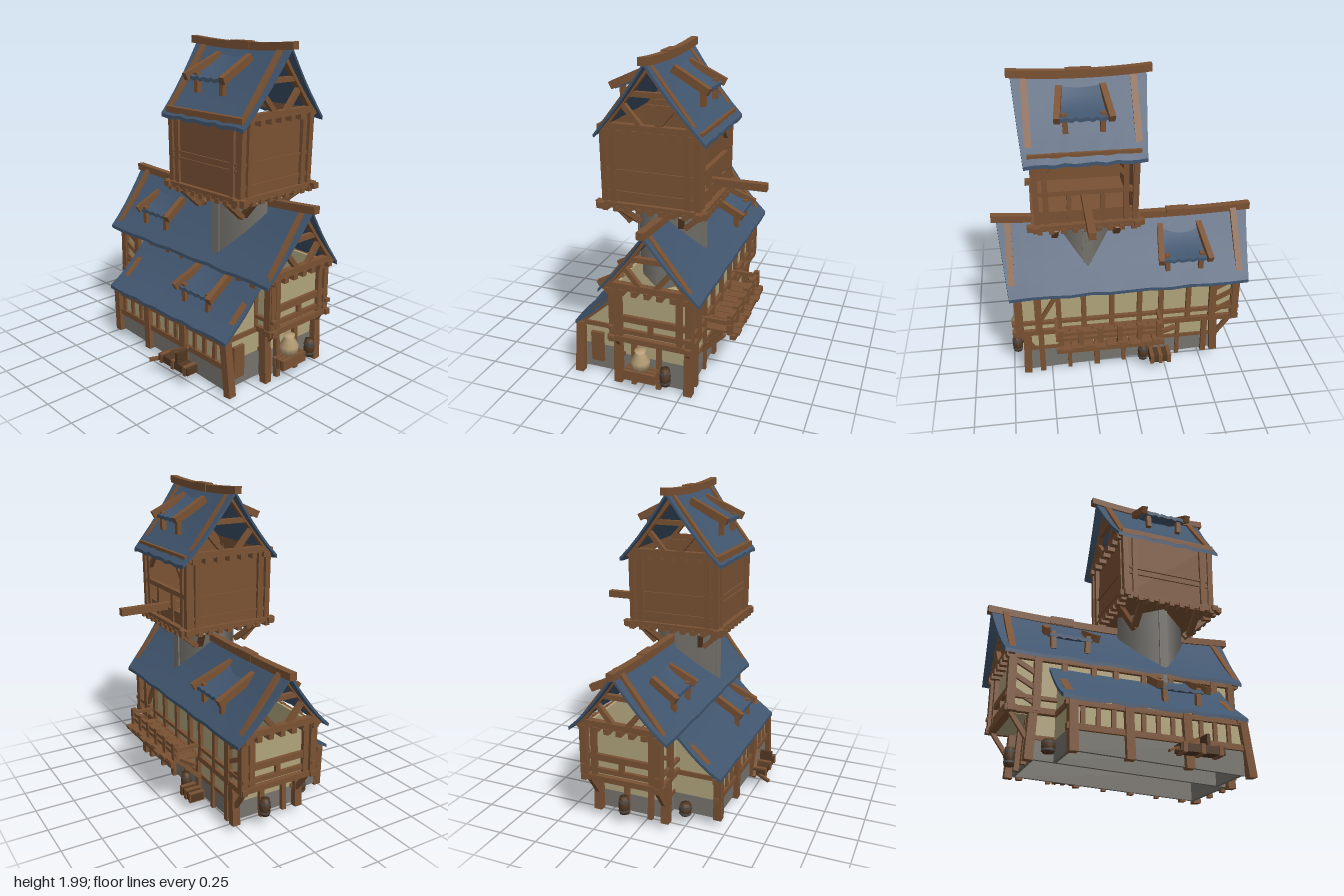
import * as THREE from 'three';

const mat = (name, color, side = THREE.FrontSide) => {
  const m = new THREE.MeshStandardMaterial({ color, side });
  m.name = name;
  return m;
};

export function createModel() {
  const root = new THREE.Group();
  root.name = 'tavernWithTower';
  const wood = mat('wood', 0x7a5233), roofBlue = mat('roofBlue', 0x41566f);
  const plaster = mat('plaster', 0xb0a47c), stone = mat('stone', 0x77746e, THREE.DoubleSide);
  const darkWood = mat('darkWood', 0x513823), iron = mat('iron', 0x4c4b4a), cloth = mat('sackcloth', 0xb59c74);

  // ---------- helpers ----------
  const add = (name, geo, m) => {
    const mesh = new THREE.Mesh(geo, m);
    mesh.name = name;
    root.add(mesh);
    return mesh;
  };
  // axis-aligned box given by its min/max on each axis
  const block = (name, m, x0, x1, y0, y1, z0, z1) => {
    const mesh = add(name, new THREE.BoxGeometry(x1 - x0, y1 - y0, z1 - z0), m);
    mesh.position.set((x0 + x1) / 2, (y0 + y1) / 2, (z0 + z1) / 2);
    return mesh;
  };
  // timber running from point a to point b
  const beam = (name, a, b, w = 0.035, h = w, m = wood) => {
    const A = new THREE.Vector3(...a), B = new THREE.Vector3(...b);
    const mesh = add(name, new THREE.BoxGeometry(w, h, A.distanceTo(B)), m);
    mesh.position.copy(A).lerp(B, 0.5);
    mesh.lookAt(B);
    return mesh;
  };
  const reshape = (geo, rule) => {
    const p = geo.attributes.position, v = new THREE.Vector3();
    for (let i = 0; i < p.count; i++) {
      rule(v.fromBufferAttribute(p, i));
      p.setXYZ(i, v.x, v.y, v.z);
    }
    geo.computeVertexNormals();
    return geo;
  };
  // roof sheet from a sagging ridge line to an eave; r and e are [x0, x1, y, z]
  const slope = (name, r, e, sag, tilt = 0, t = 0.022) => {
    const back = e[3] < r[3], L = THREE.MathUtils.lerp;
    const geo = reshape(new THREE.BoxGeometry(2, t, 1, 12, 1, 5), (v) => {
      const f = back ? 0.5 - v.z : v.z + 0.5, s = v.x, top = v.y;
      const rag = f === 1 ? 0.006 * Math.sin(s * 23) : 0;
      v.x = L(L(r[0], r[1], (s + 1) / 2), L(e[0], e[1], (s + 1) / 2), f);
      v.y = L(r[2] + sag * s * s + tilt * s, e[2], f) + top + rag - 0.02 * Math.sin(f * Math.PI);
      v.z = L(r[3], e[3], f);
    });
    return add(name, geo, roofBlue);
  };
  // sagging ridge timber with a saddle block
  const ridge = (x0, x1, y, z, sag, tilt, saddle) => {
    const geo = reshape(new THREE.BoxGeometry(2, 0.045, 0.045, 12, 1, 1), (v) => {
      const s = v.x;
      v.x = (x0 + x1) / 2 + (s * (x1 - x0)) / 2;
      v.y += y + sag * s * s + tilt * s;
      v.z += z;
    });
    add('ridgeBeam', geo, wood);
    block('ridgeSaddle', wood, saddle - 0.075, saddle + 0.075, y - 0.02, y + 0.03, z - 0.028, z + 0.028);
  };
  // shed dormer: two splayed rafters, a lifted roof patch and short posts
  const dormer = (xc, y0, z0, y1, z1) => {
    const zm = z0 + (z1 - z0) * 0.78, ym = y0 + (y1 - y0) * 0.78;
    slope('dormerRoof', [xc - 0.12, xc + 0.12, y0 - 0.015, z0], [xc - 0.14, xc + 0.14, y1 - 0.005, z1 - 0.02 * Math.sign(z1 - z0)], 0.015);
    for (const s of [-1, 1]) {
      beam('dormerRafter', [xc + s * 0.125, y0, z0], [xc + s * 0.155, y1, z1], 0.036, 0.045);
      beam('dormerPost', [xc + s * 0.11, ym, zm], [xc + s * 0.105, y1 - 0.09, zm], 0.03);
    }
  };
  // open gable truss in the plane x
  const truss = (x, zc, half, y0, y1) => {
    const H = y1 - y0;
    beam('tieBeam', [x, y0, zc - half], [x, y0, zc + half], 0.04, 0.04);
    beam('collar', [x, y0 + H * 0.55, zc - half * 0.4], [x, y0 + H * 0.55, zc + half * 0.4], 0.03);
    for (const s of [-1, 1]) {
      beam('gableRafter', [x, y0 - 0.03, zc + s * half * 1.06], [x, y1, zc], 0.04);
      beam('gableStrut', [x, y0, zc + s * 0.04], [x, y0 + H * 0.4, zc + s * half * 0.58], 0.03);
    }
    for (let i = -3; i <= 3; i++) {
      const z = zc + (i * half) / 3.3;
      block('joistEnd', wood, x - 0.028, x + 0.028, y0 - 0.05, y0 - 0.015, z - 0.017, z + 0.017);
    }
  };
  // the ground falls away toward +x
  const ground = (x) => 0.05 - 0.045 * x;
  const stoneWall = (x0, x1, z0, z1, top) => add('stoneBase', reshape(new THREE.BoxGeometry(1, 1, 1), (v) => {
    v.x = v.x < 0 ? x0 : x1;
    v.z = v.z < 0 ? z0 : z1;
    v.y = v.y > 0 ? top : ground(v.x);
  }), stone);
  const post = (x, z, top = 0.34, w = 0.045, lean = 0) =>
    beam('post', [x + lean, ground(x) - 0.012, z], [x, top, z], w);

  // ---------- ground floor ----------
  for (const z of [0.14, -0.28]) {
    stoneWall(-0.57, 0.64, z - 0.01, z + 0.01, 0.19);
    block('lowerPlaster', plaster, -0.57, 0.64, 0.19, 0.34, z - 0.008, z + 0.008);
    block('sillBeam', wood, -0.58, 0.65, 0.185, 0.21, z - 0.018, z + 0.018);
  }
  for (const x of [-0.56, 0.63]) {
    stoneWall(x - 0.01, x + 0.01, -0.28, 0.14, 0.19);
    block('lowerPlaster', plaster, x - 0.008, x + 0.008, 0.19, 0.34, -0.28, 0.14);
    for (const z of [0.16, 0.06, -0.1, -0.29]) post(x + Math.sign(x) * 0.015, z, 0.34, z === 0.16 || z === -0.29 ? 0.05 : 0.03, 0.015 * Math.sign(x));
  }
  for (let i = 0; i < 7; i++) post(-0.52 + i * 0.18, -0.295, 0.34, i % 2 ? 0.026 : 0.036);
  block('upperFloor', plaster, -0.68, 0.68, 0.325, 0.345, -0.29, 0.15);

  // ---------- upper floor ----------
  for (const z of [0.155, -0.295]) {
    const o = z + Math.sign(z) * 0.015;
    block('upperPlaster', plaster, -0.69, 0.69, 0.36, 0.68, z - 0.008, z + 0.008);
    for (const [y, h] of [[0.345, 0.035], [0.66, 0.03], [0.42, 0.022]]) beam('rail', [-0.74, y, o], [0.74, y, o], 0.035, h);
    for (const x of [-0.71, -0.56, -0.4, -0.22, -0.08, 0.1, 0.28, 0.44, 0.57, 0.69]) beam('stud', [x, 0.34, o], [x, 0.68, o], Math.abs(x) > 0.55 ? 0.045 : 0.032);
    for (const y of [0.4, 0.49, 0.58]) beam('wallBrace', [-0.7, y + 0.06, o], [-0.57, y - 0.01, o], 0.022, 0.028);
    beam('wallBrace', [0.45, 0.62, o], [0.56, 0.43, o], 0.025);
  }
  for (const s of [-1, 1]) {
    const x = s * 0.685, o = s * 0.7;
    block('upperPlaster', plaster, x - 0.008, x + 0.008, 0.36, 0.68, -0.29, 0.15);
    for (const z of [0.165, 0.125, -0.25, -0.305]) beam('stud', [o, 0.34, z], [o, 0.69, z], 0.036);
    beam('rail', [o, 0.345, 0.2], [o, 0.345, -0.33], 0.05, 0.035);
    beam('rail', [o, 0.48, 0.15], [o, 0.48, -0.3], 0.03, 0.04);
    beam('rail', [o, 0.395, 0.15], [o, 0.395, -0.3], 0.03, 0.03);
    beam('windowPost', [o, 0.4, -0.07], [o, 0.48, -0.07], 0.03);
    truss(s * 0.72, -0.065, 0.26, 0.7, 1.03);
    for (const z of [0.15, -0.29]) beam('jettyBrace', [s * 0.7, 0.33, z], [s * 0.6, 0.19, z], 0.025);
  }

  // ---------- main roof ----------
  const R = [-0.81, 0.79, 1.005, -0.065];
  slope('mainRoofFront', R, [-0.77, 0.74, 0.655, 0.245], 0.035, 0.01);
  slope('mainRoofBack', R, [-0.77, 0.74, 0.655, -0.38], 0.035, 0.01);
  ridge(-0.83, 0.82, 1.025, -0.065, 0.03, 0.015, -0.36);
  dormer(-0.365, 0.93, 0.03, 0.83, 0.2);
  dormer(-0.365, 0.95, -0.1, 0.83, -0.36);

  // ---------- lean-to ----------
  stoneWall(-0.44, 0.6, 0.41, 0.43, 0.19);
  block('leanToPlaster', plaster, -0.44, 0.6, 0.19, 0.33, 0.412, 0.428);
  beam('leanToSill', [-0.46, 0.195, 0.43], [0.62, 0.18, 0.43], 0.035, 0.035);
  beam('leanToPlate', [-0.47, 0.325, 0.43], [0.62, 0.325, 0.43], 0.04, 0.03);
  for (const x of [-0.43, -0.11, 0.24, 0.6]) post(x, 0.435, 0.34, 0.05, x > 0.5 ? 0.04 : 0.01);
  for (let i = 0; i < 11; i++) beam('leanToStud', [-0.37 + i * 0.088, 0.19, 0.43], [-0.37 + i * 0.088, 0.33, 0.43], 0.025);
  const side = new THREE.Shape([[0.15, 0.19], [0.42, 0.19], [0.42, 0.33], [0.15, 0.56]].map((p) => new THREE.Vector2(...p)));
  for (const x of [-0.43, 0.58]) {
    stoneWall(x - 0.01, x + 0.01, 0.15, 0.42, 0.19);
    const geo = new THREE.ExtrudeGeometry(side, { depth: 0.016, bevelEnabled: false });
    geo.rotateY(-Math.PI / 2).translate(x + 0.008, 0, 0);
    add('leanToSide', geo, plaster);
    beam('leanToRafter', [x, 0.57, 0.18], [x, 0.33, 0.45], 0.045, 0.035);
    beam('leanToRail', [x, 0.335, 0.17], [x, 0.335, 0.46], 0.04, 0.03);
  }
  block('sideDoor', wood, 0.585, 0.61, 0.08, 0.28, 0.29, 0.37);
  slope('leanToRoof', [-0.49, 0.62, 0.6, 0.17], [-0.49, 0.63, 0.345, 0.465], 0.008);
  dormer(0.26, 0.625, 0.19, 0.515, 0.4);

  // ---------- stone tower: four-sided shaft with soft shading and corner strips ----------
  const shaft = add('towerShaft', new THREE.CylinderGeometry(0.23, 0.23, 0.56, 4, 1, true), stone);
  shaft.position.set(0.24, 0.85, -0.03);
  for (const s of [-1, 1]) block('towerStrip', stone, 0.212, 0.268, 0.6, 1.12, -0.03 + s * 0.2 - 0.012, -0.03 + s * 0.2 + 0.012);

  // ---------- tower platform ----------
  const tx = 0.245, tz = -0.02;
  block('platform', wood, -0.05, 0.54, 1.115, 1.14, -0.31, 0.28);
  for (const s of [-1, 1]) {
    beam('platformEdge', [-0.1, 1.125, tz + s * 0.3], [0.6, 1.125, tz + s * 0.3], 0.04, 0.035);
    beam('platformEdge', [tx + s * 0.3, 1.125, -0.36], [tx + s * 0.3, 1.125, 0.32], 0.04, 0.035);
    for (const k of [-0.19, 0.19]) {
      beam('towerBrace', [tx + s * 0.31, 1.11, tz + k], [tx + s * 0.17, 0.985, tz + k * 0.7], 0.035);
      beam('towerBrace', [tx + k, 1.11, tz + s * 0.31], [tx + k, 0.985, tz + s * 0.17], 0.04, 0.03);
    }
    for (let i = -4; i <= 4; i++) {
      block('joistEnd', wood, tx + i * 0.07 - 0.016, tx + i * 0.07 + 0.016, 1.09, 1.12, tz + s * 0.3 - 0.028, tz + s * 0.3 + 0.028);
      block('joistEnd', wood, tx + s * 0.3 - 0.028, tx + s * 0.3 + 0.028, 1.09, 1.12, tz + i * 0.07 - 0.016, tz + i * 0.07 + 0.016);
    }
  }

  // ---------- tower room: boarded on three sides, open loading bay at the back ----------
  block('roomFront', wood, -0.04, 0.53, 1.14, 1.58, 0.255, 0.27);
  for (const s of [-1, 1]) {
    const x = tx + s * 0.285;
    block('roomSide', wood, x - 0.008, x + 0.008, 1.14, 1.58, -0.3, 0.265);
    for (const z of [0.265, 0.21, -0.24, -0.3]) beam('roomPost', [x + s * 0.006, 1.13, z], [x + s * 0.018, 1.58, z], 0.035);
    for (const y of [1.2, 1.33]) beam('roomRail', [x + s * 0.008, y, 0.25], [x + s * 0.008, y, -0.3], 0.02, 0.018);
    for (const z of [0.27, -0.3]) beam('roomPost', [tx + s * 0.235, 1.13, z], [tx + s * 0.24, 1.58, z], 0.032);
    beam('wallPlate', [-0.08, 1.58, tz + s * 0.29], [0.57, 1.58, tz + s * 0.29], 0.045, 0.04);
    beam('bayBrace', [tx + s * 0.23, 1.44, -0.3], [tx + s * 0.12, 1.57, -0.3], 0.025);
    beam('bayPost', [tx + s * 0.1, 1.14, -0.3], [tx + s * 0.1, 1.34, -0.3], 0.028);
    truss(tx + s * 0.315, tz, 0.275, 1.595, 1.94);
  }
  for (const y of [1.29, 1.33]) beam('roomRail', [-0.03, y, 0.27], [0.52, y, 0.27], 0.02, 0.016);
  block('bayBoards', wood, -0.03, 0.52, 1.14, 1.22, -0.305, -0.29);
  beam('bayRail', [-0.03, 1.34, -0.3], [0.52, 1.34, -0.3], 0.03);
  beam('hoistBeam', [0.24, 1.225, -0.1], [0.24, 1.225, -0.62], 0.045, 0.045);

  // ---------- tower roof ----------
  const T = [-0.15, 0.635, 1.94, -0.025];
  slope('towerRoofFront', T, [-0.11, 0.595, 1.54, 0.305], 0.02);
  slope('towerRoofBack', T, [-0.11, 0.595, 1.54, -0.36], 0.02);
  ridge(-0.18, 0.66, 1.958, -0.025, 0.02, 0, 0.245);
  dormer(0.24, 1.9, 0.03, 1.785, 0.28);
  dormer(0.24, 1.9, -0.09, 1.785, -0.31);

  // ---------- back balcony ----------
  for (let i = 0; i < 9; i++) block('balconyPlank', wood, -0.2 + i * 0.073, -0.135 + i * 0.073, 0.345, 0.36, -0.515 - 0.01 * (i % 3), -0.3);
  beam('balconyEdge', [-0.21, 0.335, -0.5], [0.47, 0.335, -0.5], 0.035, 0.03);
  for (const y of [0.4, 0.44]) beam('handrail', [-0.21, y, -0.475], [0.47, y, -0.475], 0.022, 0.022);
  for (let i = 0; i < 6; i++) {
    const x = -0.18 + i * 0.124;
    beam('balconyPost', [x, 0.34, -0.475], [x, 0.47, -0.475], 0.034);
    beam('balconyBrace', [x, 0.33, -0.44], [x, 0.19, -0.3], 0.026);
  }
  for (const x of [-0.2, 0.46]) beam('handrail', [x, 0.43, -0.475], [x, 0.43, -0.3], 0.022);
  beam('stairBrace', [-0.3, 0.36, -0.4], [-0.2, 0.36, -0.44], 0.03, 0.02);

  // ---------- barrels, sack, crates ----------
  const barrel = (x, y, z, r = 0.035, h = 0.11) => {
    const prof = [[0, 0], [0.8, 0], [1, 0.5], [0.8, 1], [0, 1]].map(([a, b]) => new THREE.Vector2(a * r, b * h));
    add('barrel', new THREE.LatheGeometry(prof, 10), darkWood).position.set(x, y, z);
    for (const f of [0.2, 0.75]) {
      const hoop = add('barrelHoop', new THREE.CylinderGeometry(r * 0.98, r * 0.98, 0.012, 10), iron);
      hoop.position.set(x, y + h * f, z);
    }
  };
  barrel(-0.63, 0.09, -0.1);
  barrel(-0.5, 0.09, 0.25, 0.04, 0.075);
  barrel(0.72, 0.09, -0.165);
  barrel(-0.1, 0.09, -0.36);
  const sackProfile = [[0, 0], [0.055, 0.01], [0.06, 0.06], [0.03, 0.11], [0.035, 0.13], [0, 0.13]].map((p) => new THREE.Vector2(...p));
  add('sack', new THREE.LatheGeometry(sackProfile, 10), cloth).position.set(0.7, 0.15, 0);
  const crate = (x0, x1, y0, y1, z0, z1) => {
    block('crate', darkWood, x0, x1, y0, y1, z0, z1);
    for (const f of [0.1, 0.5, 0.9]) {
      const x = x0 + (x1 - x0) * f;
      block('crateSlat', wood, x - 0.012, x + 0.012, y0 - 0.006, y1 + 0.006, z0 - 0.006, z1 + 0.006);
    }
  };
  crate(0.66, 0.74, 0.09, 0.14, -0.1, 0.09);
  crate(-0.28, -0.14, 0.09, 0.14, -0.42, -0.33);
  crate(0.14, 0.41, 0.09, 0.135, 0.48, 0.56);
  block('cartBack', darkWood, 0.3, 0.32, 0.12, 0.2, 0.48, 0.56);
  beam('cartHandle', [0.1, 0.09, 0.6], [0.16, 0.1, 0.5], 0.02);
  beam('plank', [0.1, 0.1, 0.5], [0.3, 0.2, 0.46], 0.02, 0.014);
  return root;
}
